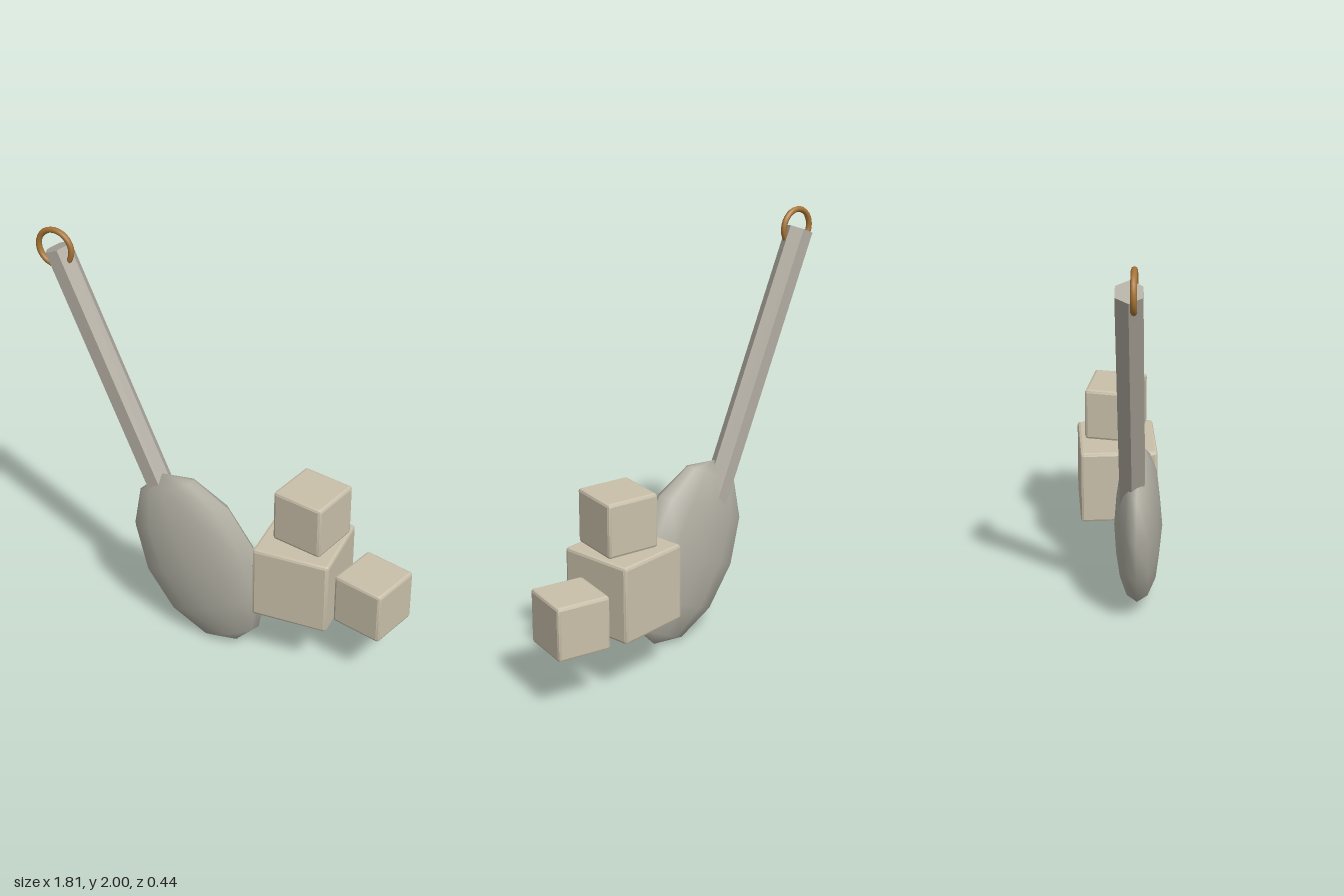
import * as THREE from 'three';
import { toCreasedNormals } from 'three/addons/utils/BufferGeometryUtils.js';
import { RoundedBoxGeometry } from 'three/addons/geometries/RoundedBoxGeometry.js';

const mat = (name, color) => {
  const m = new THREE.MeshStandardMaterial({ color });
  m.name = name;
  return m;
};

export function createModel() {
  const group = new THREE.Group();
  const stone = mat('grey stone', 0xb0aea2);
  const shaft = mat('pale grey', 0xb3aea3);
  const sand = mat('sand', 0xc9c0aa);
  const bronze = mat('bronze', 0xa87638);

  const add = (name, geometry, material, x, y, z) => {
    const mesh = new THREE.Mesh(geometry, material);
    mesh.name = name;
    mesh.position.set(x, y, z);
    group.add(mesh);
    return mesh;
  };

  // Flattened, leaning bowl
  const bowl = add('bowl', new THREE.SphereGeometry(1, 12, 6), stone, -0.077, 0.435, 0.104);
  bowl.scale.set(0.325, 0.464, 0.113);
  bowl.rotation.z = 0.442;

  // Six-sided handle, flat side forward, its lower end sunk into the bowl
  const length = 1.36, lean = 0.425;
  const hex = new THREE.CylinderGeometry(0.066, 0.066, length, 6);
  hex.rotateY(Math.PI / 6);
  const handle = add('handle', toCreasedNormals(hex, 0.5), shaft,
    -0.804 + Math.sin(lean) * length / 2, 1.895 - Math.cos(lean) * length / 2, 0.082);
  handle.rotation.z = lean;

  // Hanging ring at the end of the handle
  add('hangingRing', new THREE.TorusGeometry(0.086, 0.014, 8, 28), bronze, -0.806, 1.9, 0.103);

  // Bevelled cubes: name, size, centre, turn
  const cubes = [
    ['largeCube', 0.372, 0.411, 0.465, -0.016, 0.1],
    ['upperCube', 0.26, 0.446, 0.8, -0.022, -0.15],
    ['sideCube', 0.26, 0.755, 0.41, -0.05, -0.2],
  ];
  for (const [name, size, x, y, z, turn] of cubes) {
    const box = new RoundedBoxGeometry(size, size, size, 1, 0.014);
    add(name, toCreasedNormals(box, 0.3), sand, x, y, z).rotation.y = turn;
  }
  return group;
}
